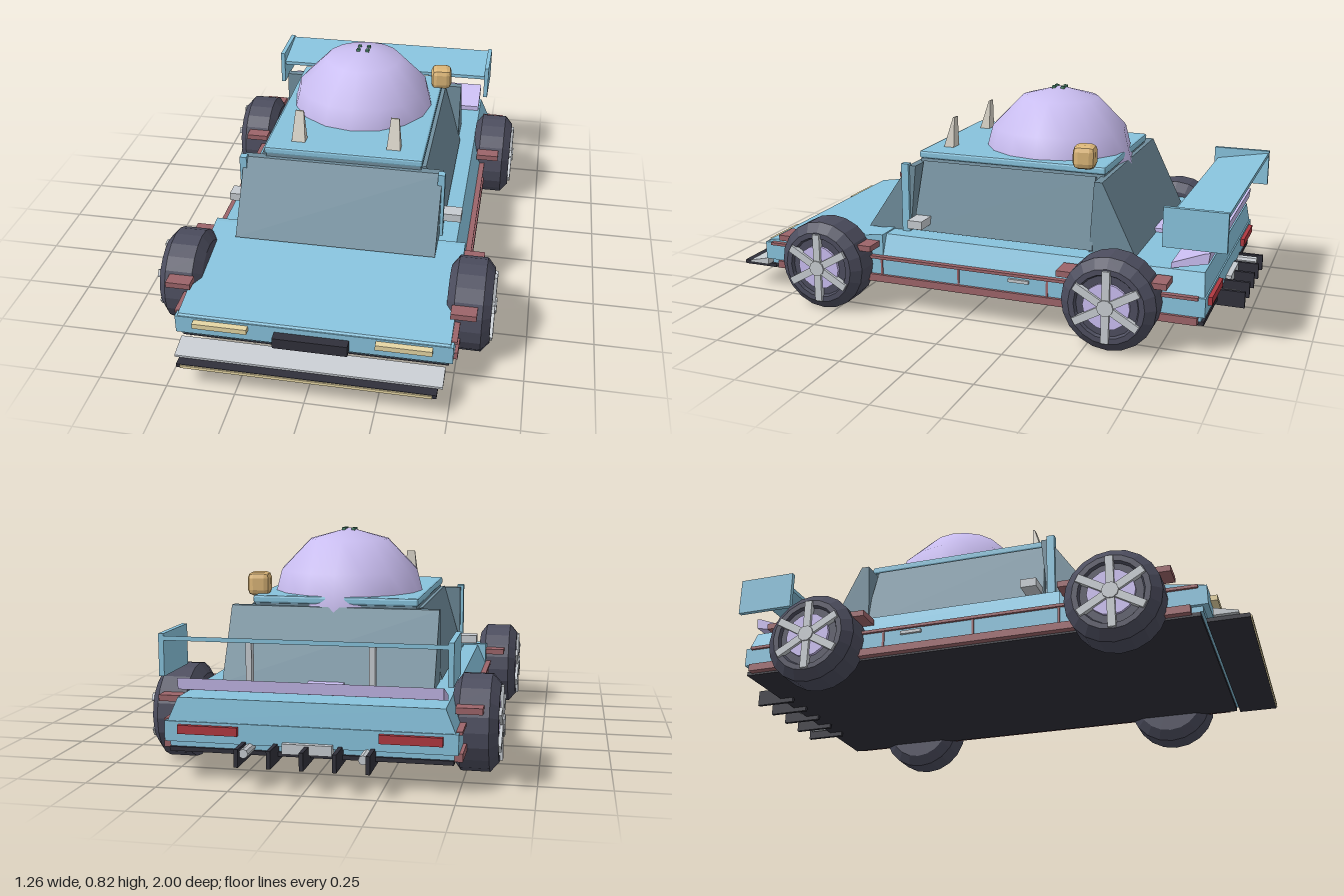
import * as THREE from 'three';
import { RoundedBoxGeometry } from 'three/addons/geometries/RoundedBoxGeometry.js';

const mat = (color, flatShading = true) => new THREE.MeshStandardMaterial({ color, flatShading });
const BLUE = mat(0x87c2dc), GLASS = mat(0x6f8c9b), TYRE = mat(0x4c4d5e), DARK = mat(0x30303a);
const RED = mat(0x9c6469), TAIL = mat(0xb03840), SILVER = mat(0xc6cbd0), CREAM = mat(0xe6d6a4);
const LILAC = mat(0xc9bdf0), DOME = mat(0xc9bdf0, false), GOLD = mat(0xdcb678), BONE = mat(0xdad5ca), GREEN = mat(0x4f8a70);

export function createModel() {
  const car = new THREE.Group();
  car.name = 'raceCar';

  const add = (name, geo, material, x = 0, y = 0, z = 0, parent = car) => {
    const m = new THREE.Mesh(geo, material);
    m.name = name;
    m.position.set(x, y, z);
    parent.add(m);
    return m;
  };
  // Box given by its limits on each axis
  const box = (name, material, [x0, x1], [y0, y1], [z0, z1]) =>
    add(name, new THREE.BoxGeometry(x1 - x0, y1 - y0, z1 - z0), material, (x0 + x1) / 2, (y0 + y1) / 2, (z0 + z1) / 2);
  // The same box on both sides
  const pair = (name, material, [x0, x1], ys, zs) => {
    box(name + 'Left', material, [x0, x1], ys, zs);
    box(name + 'Right', material, [-x1, -x0], ys, zs);
  };
  // Side profile of [z, y] points extruded across the width
  const prism = (name, material, points, halfWidth) => {
    const shape = new THREE.Shape(points.map(p => new THREE.Vector2(...p)));
    const geo = new THREE.ExtrudeGeometry(shape, { depth: halfWidth * 2, bevelEnabled: false });
    geo.rotateY(-Math.PI / 2);
    return add(name, geo, material, halfWidth, 0, 0);
  };
  // Box whose top face is scaled and shifted in z
  const tapered = (w, h, d, sx, sz, shift = 0) => {
    const geo = new THREE.BoxGeometry(w, h, d), p = geo.attributes.position;
    for (let i = 0; i < p.count; i++)
      if (p.getY(i) > 0) p.setXYZ(i, p.getX(i) * sx, p.getY(i), p.getZ(i) * sz + shift);
    geo.computeVertexNormals();
    return geo;
  };

  // Lower body, hood and shoulders
  box('floor', DARK, [-0.485, 0.485], [0.1, 0.115], [-0.9, 0.83]);
  box('sill', BLUE, [-0.485, 0.485], [0.115, 0.14], [-0.89, 0.84]);
  box('lowerBody', BLUE, [-0.5, 0.5], [0.135, 0.205], [-0.905, 0.86]);
  prism('hood', BLUE, [[0.86, 0.2], [0.85, 0.212], [0.36, 0.29], [0.34, 0.29], [0.34, 0.2]], 0.49);
  add('shoulders', tapered(0.98, 0.08, 1.26, 0.93, 0.985), BLUE, 0, 0.245, -0.27);

  // Side trim
  pair('skirt', RED, [0.48, 0.512], [0.107, 0.135], [-0.88, 0.8]);
  pair('sideStrip', RED, [0.48, 0.51], [0.197, 0.208], [-0.88, 0.83]);
  pair('doorHandle', SILVER, [0.49, 0.51], [0.175, 0.187], [-0.26, -0.18]);
  for (const z of [0.34, 0.02, -0.33]) pair('doorSeam', RED, [0.49, 0.504], [0.135, 0.2], [z - 0.004, z + 0.004]);

  // Cabin: core, sloped glass, posts and roof
  add('cabinCore', tapered(0.72, 0.28, 0.76, 0.83, 0.97), GLASS, 0, 0.42, -0.11);
  prism('windshield', GLASS, [[0.45, 0.285], [0.275, 0.545], [0.245, 0.545], [0.27, 0.285]], 0.385);
  prism('rearWindow', GLASS, [[-0.625, 0.285], [-0.45, 0.285], [-0.465, 0.55], [-0.495, 0.55]], 0.385);
  for (const s of [1, -1]) {
    const glass = add(s > 0 ? 'sideWindowLeft' : 'sideWindowRight', tapered(0.02, 0.27, 0.72, 1, 0.96), GLASS, s * 0.347, 0.42, -0.105);
    glass.rotation.z = s * 0.28;
  }
  pair('windshieldPost', BLUE, [0.37, 0.397], [0.285, 0.553], [0.27, 0.3]);
  add('roof', new RoundedBoxGeometry(0.615, 0.03, 0.75, 1, 0.008), BLUE, 0, 0.572, -0.11);
  pair('mirror', SILVER, [0.38, 0.462], [0.318, 0.35], [0.187, 0.247]);
  box('rearVent', LILAC, [-0.065, 0.065], [0.28, 0.3], [-0.665, -0.6]);

  // Roof dome with four small studs
  add('dome', new THREE.SphereGeometry(0.305, 16, 6), DOME, 0, 0.508, -0.205).scale.y = 1.03;
  for (const x of [-0.018, 0.018]) for (const z of [-0.018, 0.018])
    add('domeStud', new THREE.BoxGeometry(0.014, 0.012, 0.014), GREEN, x, 0.817, z - 0.205);

  // Roof fins and beacon
  for (const s of [1, -1]) add('roofFin', tapered(0.054, 0.12, 0.042, 0.6, 0.15, -0.018), BONE, s * 0.186, 0.645, 0.182);
  add('beacon', new RoundedBoxGeometry(0.085, 0.088, 0.085, 1, 0.022), GOLD, 0.303, 0.622, -0.405).rotation.y = 0.12;

  // Nose: lamps, grille and splitter
  pair('headlight', CREAM, [0.23, 0.43], [0.177, 0.197], [0.85, 0.885]);
  box('grille', DARK, [-0.135, 0.135], [0.142, 0.184], [0.85, 0.897]);
  prism('splitterRamp', SILVER, [[0.87, 0.1], [0.955, 0.1], [0.955, 0.108], [0.87, 0.127]], 0.477);
  box('splitter', DARK, [-0.46, 0.46], [0.085, 0.1], [0.845, 0.99]);
  box('splitterEdge', CREAM, [-0.445, 0.445], [0.087, 0.098], [0.98, 0.995]);

  // Tail: lamps, plate, exhausts, diffuser fins and lip
  pair('tailLight', TAIL, [0.24, 0.45], [0.165, 0.195], [-0.92, -0.89]);
  box('tailPlate', SILVER, [-0.085, 0.085], [0.115, 0.15], [-0.925, -0.89]);
  for (const s of [1, -1])
    add('exhaust', new THREE.CylinderGeometry(0.016, 0.016, 0.1, 8), SILVER, s * 0.2, 0.125, -0.93).rotation.x = Math.PI / 2;
  for (let i = -2; i <= 2; i++) {
    const x = i * 0.11;
    box('diffuserFin', DARK, [x - 0.007, x + 0.007], [0.083, 0.144], [-1, -0.845]);
  }
  prism('tailLip', LILAC, [[-0.77, 0.285], [-0.9, 0.315], [-0.905, 0.355], [-0.885, 0.35], [-0.77, 0.305]], 0.45);

  // Rear wing
  prism('wingBlade', BLUE, [[-0.757, 0.455], [-0.757, 0.47], [-0.966, 0.507], [-0.966, 0.492]], 0.475);
  pair('wingEndPlate', BLUE, [0.47, 0.488], [0.372, 0.515], [-0.968, -0.743]);
  pair('wingStrut', SILVER, [0.2, 0.22], [0.31, 0.48], [-0.87, -0.842]);

  // Wheels with six spokes, plus a guard before and behind each
  const tyreProfile = [[0, -0.08], [0.135, -0.08], [0.1725, -0.052], [0.1725, 0.05], [0.138, 0.08], [0.118, 0.08], [0.112, 0.068], [0, 0.068]]
    .map(p => new THREE.Vector2(...p));
  const tyreGeo = new THREE.LatheGeometry(tyreProfile, 20).rotateZ(-Math.PI / 2);
  const discGeo = new THREE.CylinderGeometry(0.085, 0.085, 0.012, 16).rotateZ(Math.PI / 2);
  const hubGeo = new THREE.CylinderGeometry(0.03, 0.03, 0.03, 10).rotateZ(Math.PI / 2);
  const spokeGeo = new THREE.BoxGeometry(0.02, 0.265, 0.028);
  for (const z of [0.553, -0.583]) {
    for (const s of [1, -1]) {
      const wheel = new THREE.Group();
      wheel.name = (z > 0 ? 'front' : 'rear') + (s > 0 ? 'Left' : 'Right') + 'Wheel';
      wheel.position.set(s * 0.535, 0.1725, z);
      if (s < 0) wheel.rotation.y = Math.PI;
      add('tyre', tyreGeo, TYRE, 0, 0, 0, wheel);
      add('brakeDisc', discGeo, LILAC, 0.073, 0, 0, wheel);
      add('hub', hubGeo, SILVER, 0.08, 0, 0, wheel);
      for (let i = 0; i < 3; i++) add('spoke', spokeGeo, SILVER, 0.08, 0, 0, wheel).rotation.x = i * Math.PI / 3;
      car.add(wheel);
    }
    for (const d of [0.172, -0.172]) pair('wheelGuard', RED, [0.475, 0.567], [0.243, 0.265], [z + d - 0.027, z + d + 0.027]);
  }
  return car;
}
